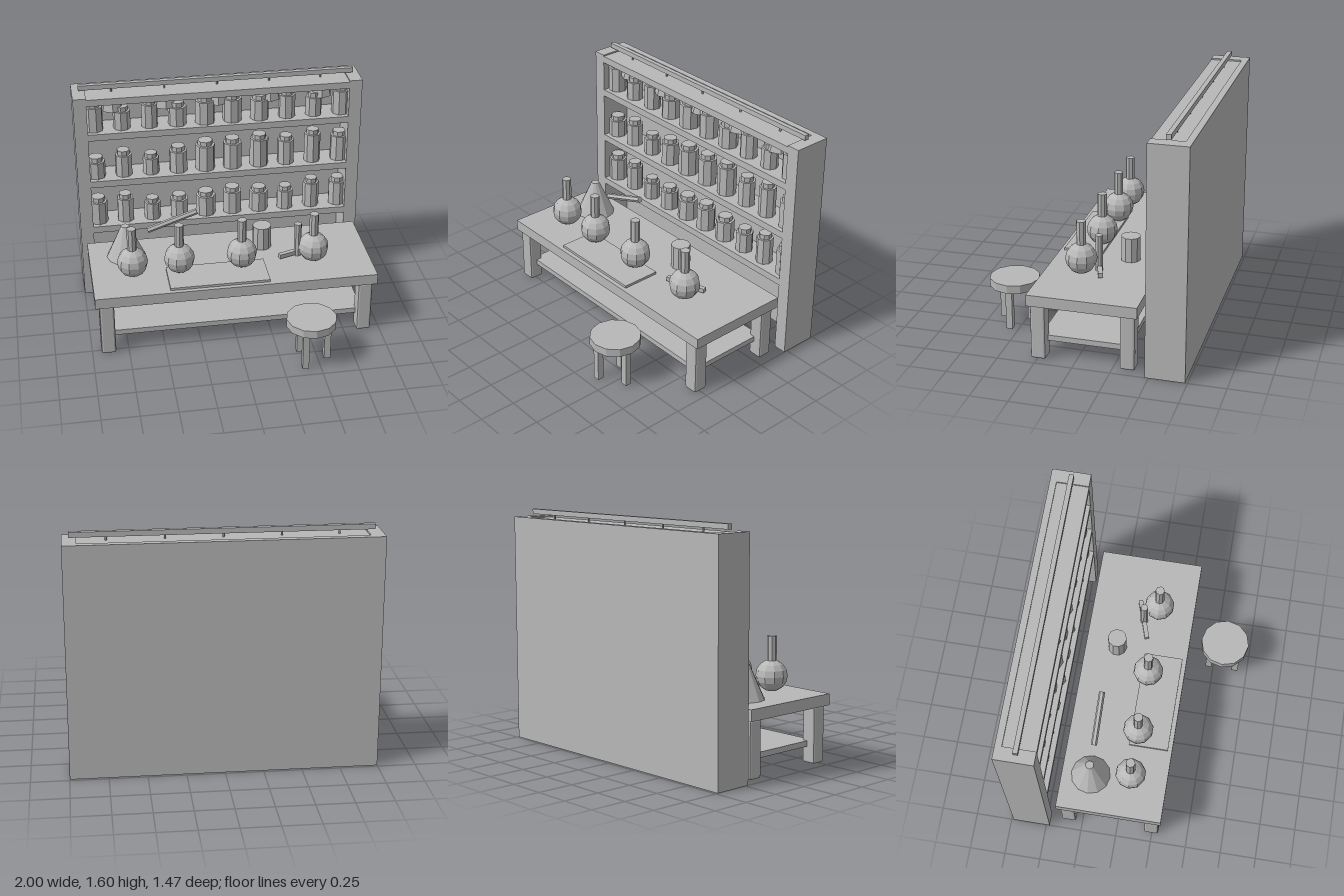
import * as THREE from 'three';
import { RoundedBoxGeometry } from 'three/addons/geometries/RoundedBoxGeometry.js';

const grey = new THREE.MeshStandardMaterial({ color: 0xb8b8b8, flatShading: true });
grey.name = 'plain grey';

export function createModel() {
  const model = new THREE.Group();
  model.name = 'apothecaryWorkshop';

  const group = (name) => {
    const g = new THREE.Group();
    g.name = name;
    model.add(g);
    return g;
  };
  const add = (parent, name, geometry) => {
    const mesh = new THREE.Mesh(geometry, grey);
    mesh.name = name;
    parent.add(mesh);
    return mesh;
  };
  // Box given by its lower and upper limits
  const box = (parent, name, x0, x1, y0, y1, z0, z1) => {
    const m = add(parent, name, new THREE.BoxGeometry(x1 - x0, y1 - y0, z1 - z0));
    m.position.set((x0 + x1) / 2, (y0 + y1) / 2, (z0 + z1) / 2);
    return m;
  };
  // Upright cylinder standing on y0
  const post = (parent, name, x, z, y0, y1, rBottom, rTop, sides) => {
    const m = add(parent, name, new THREE.CylinderGeometry(rTop, rBottom, y1 - y0, sides));
    m.position.set(x, (y0 + y1) / 2, z);
    return m;
  };

  // Tall shelf unit, open below
  const shelf = group('shelfUnit');
  box(shelf, 'backPanel', -1, 1, 0, 1.55, -0.735, -0.69);
  for (const s of [-1, 1]) {
    box(shelf, 'sidePanel', s < 0 ? -1 : 0.91, s < 0 ? -0.91 : 1, 0, 1.55, -0.69, -0.475);
  }
  for (const y of [0.502, 0.866, 1.23]) {
    box(shelf, 'shelfBoard', -0.91, 0.91, y, y + 0.048, -0.69, -0.475);
  }
  box(shelf, 'topBoard', -0.91, 0.91, 1.492, 1.54, -0.69, -0.475);

  // Lidded jars: total heights and radii for each row
  const jars = group('jars');
  const rows = [
    [0.55, [0.2, 0.21, 0.16, 0.17, 0.182, 0.2, 0.182, 0.175, 0.22, 0.214]],
    [0.914, [0.155, 0.193, 0.155, 0.193, 0.22, 0.225, 0.24, 0.214, 0.246, 0.22]],
    [1.278, [0.21, 0.166, 0.203, 0.171, 0.2, 0.203, 0.182, 0.203, 0.171, 0.21]],
  ];
  const radii = [0.065, 0.06, 0.058, 0.065, 0.07, 0.067, 0.066, 0.06, 0.058, 0.062];
  rows.forEach(([y, heights], row) => heights.forEach((h, i) => {
    const x = -0.862 + i * 0.1925;
    const r = radii[(i + row * 10) % 10];
    const turn = i * 0.37 + row * 0.9;
    post(jars, 'jarBody', x, -0.565, y, y + h - 0.034, r, r, 8).rotation.y = turn;
    post(jars, 'jarLid', x, -0.565, y + h - 0.034, y + h, r * 0.75, r * 0.75, 8).rotation.y = turn;
  }));

  // Drying rail with bundles hanging through the top board
  const rail = group('dryingRail');
  box(rail, 'railBar', -0.955, 0.955, 1.566, 1.6, -0.612, -0.58);
  for (let i = 0; i < 5; i++) {
    const x = -0.73 + i * 0.364;
    post(rail, 'string', x, -0.595, 1.5, 1.57, 0.007, 0.007, 5);
    post(rail, 'herbBundle', x, -0.595, 1.415, 1.525, 0.085, 0.055, 7);
  }

  // Workbench
  const table = group('workbench');
  box(table, 'tabletop', -0.965, 0.965, 0.38, 0.456, -0.415, 0.31);
  box(table, 'lowerShelf', -0.88, 0.88, 0.11, 0.148, -0.34, 0.24);
  for (const x of [-0.888, 0.888]) {
    for (const z of [-0.346, 0.244]) {
      const leg = add(table, 'tableLeg', new RoundedBoxGeometry(0.1, 0.38, 0.1, 1, 0.014));
      leg.position.set(x, 0.19, z);
    }
  }

  // Round-bottomed flasks
  const flasks = group('flasks');
  for (const x of [-0.685, -0.365, 0.065, 0.565]) {
    const bulb = add(flasks, 'flaskBulb', new THREE.SphereGeometry(0.105, 10, 8));
    bulb.position.set(x, 0.571, 0.06);
    post(flasks, 'flaskNeck', x, 0.06, 0.65, 0.83, 0.032, 0.032, 8);
  }

  // Still: cone and sloping pipe
  const still = group('still');
  post(still, 'stillCone', -0.705, -0.215, 0.456, 0.695, 0.135, 0.028, 12);
  const from = new THREE.Vector3(-0.55, 0.645, -0.215);
  const to = new THREE.Vector3(-0.205, 0.765, -0.215);
  const pipe = add(still, 'stillPipe', new THREE.CylinderGeometry(0.021, 0.021, from.distanceTo(to), 6));
  pipe.position.copy(from).lerp(to, 0.5);
  pipe.quaternion.setFromUnitVectors(new THREE.Vector3(0, 1, 0), to.clone().sub(from).normalize());

  // Other bench tools
  const tools = group('benchTools');
  post(tools, 'mortar', 0.25, -0.19, 0.456, 0.625, 0.066, 0.066, 10);
  box(tools, 'parchment', -0.455, 0.225, 0.456, 0.473, 0.01, 0.28);
  const beam = box(tools, 'balanceBeam', 0.332, 0.618, 0.465, 0.495, -0.053, -0.022);
  beam.rotation.y = 0.31;
  post(tools, 'balancePost', 0.475, -0.035, 0.456, 0.705, 0.026, 0.026, 8);

  // Three-legged stool
  const stool = group('stool');
  post(stool, 'stoolSeat', 0.452, 0.56, 0.275, 0.332, 0.17, 0.17, 12);
  for (let i = 0; i < 3; i++) {
    const a = (i * 2 * Math.PI) / 3;
    const x = 0.452 + 0.112 * Math.cos(a);
    const z = 0.562 + 0.112 * Math.sin(a);
    box(stool, 'stoolLeg', x - 0.022, x + 0.022, 0, 0.28, z - 0.022, z + 0.022);
  }

  return model;
}
